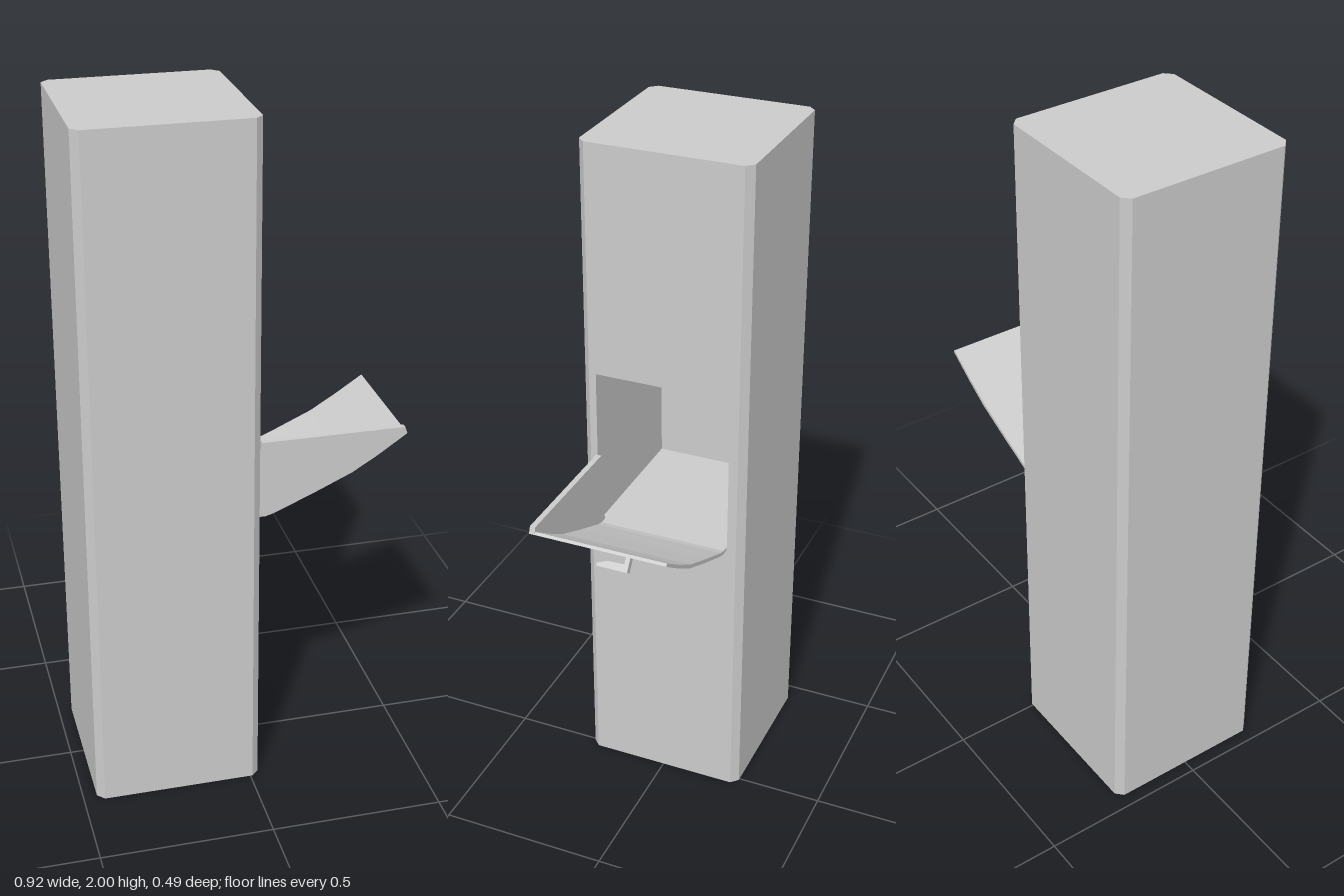
import * as THREE from 'three';

const grey = new THREE.MeshStandardMaterial({ color: 0xcccccc, side: THREE.DoubleSide });

function shapeOf(points) {
  return new THREE.Shape(points.map(([x, y]) => new THREE.Vector2(x, y)));
}

function addPart(parent, name, geometry) {
  const mesh = new THREE.Mesh(geometry, grey);
  mesh.name = name;
  parent.add(mesh);
  return mesh;
}

// Extrudes a side outline (x, y) from z0 to z1.
function slab(points, z0, z1) {
  return new THREE.ExtrudeGeometry(shapeOf(points), { depth: z1 - z0, bevelEnabled: false }).translate(0, 0, z0);
}

// Extrudes a plan outline (x, -z) from y0 to y1.
function column(points, y0, y1) {
  return new THREE.ExtrudeGeometry(shapeOf(points), { depth: y1 - y0, bevelEnabled: false })
    .rotateX(-Math.PI / 2).translate(0, y0, 0);
}

export function createModel() {
  const model = new THREE.Group();
  model.name = 'chutePillar';

  // Chamfered pillar with a deep opening in its +x face
  const l = -0.46, r = 0.027, d = 0.245, c = 0.021;
  const lower = 0.85, upper = 1.33, back = -0.43;
  const leftHalf = [[r - c, d], [l + c, d], [l, d - c], [l, c - d], [l + c, -d], [r - c, -d]];
  const solid = [...leftHalf, [r, c - d], [r, d - c]];
  const notched = [...leftHalf, [r, c - d], [r, -0.203], [back, -0.203], [back, 0.197], [r, 0.197], [r, d - c]];
  const pillar = new THREE.Group();
  pillar.name = 'pillar';
  model.add(pillar);
  addPart(pillar, 'pillarBase', column(solid, 0, lower));
  addPart(pillar, 'pillarOpening', column(notched, lower, upper));
  addPart(pillar, 'pillarTop', column(solid, upper, 2));

  // Hatch: bent plate with one side panel
  const hatch = new THREE.Group();
  hatch.name = 'hatch';
  model.add(hatch);
  const underside = [[0.027, 0.851], [0.05, 0.851], [0.075, 0.858], [0.19, 0.907], [0.3, 0.957], [0.375, 1.003], [0.458, 1.06]];
  const inside = [[0.453, 1.067], [0.37, 1.012], [0.296, 0.967], [0.186, 0.917], [0.072, 0.868], [0.048, 0.861], [0.027, 0.861]];
  addPart(hatch, 'hatchPlate', slab([...underside, ...inside], -0.196, 0.2));
  addPart(hatch, 'hatchSidePanel', slab([...underside, [0.451, 1.08], [0.04, 1.08], [0.027, 1.02]], 0.185, 0.201));

  // Handle: stem out of the plate, with a tapering lever across its end
  const handle = new THREE.Group();
  handle.name = 'handle';
  handle.position.set(0.352, 0.994, 0);
  handle.rotation.z = Math.atan2(0.105, 0.158);
  hatch.add(handle);
  addPart(handle, 'handleStem', new THREE.BoxGeometry(0.02, 0.056, 0.013).translate(0, -0.022, -0.045));
  const lever = [[0.051, -0.05], [0.051, -0.028], [-0.01, -0.03], [-0.04, -0.042], [-0.04, -0.05]];
  addPart(handle, 'handleLever', slab(lever, -0.01, 0.01).rotateY(Math.PI / 2));

  return model;
}
